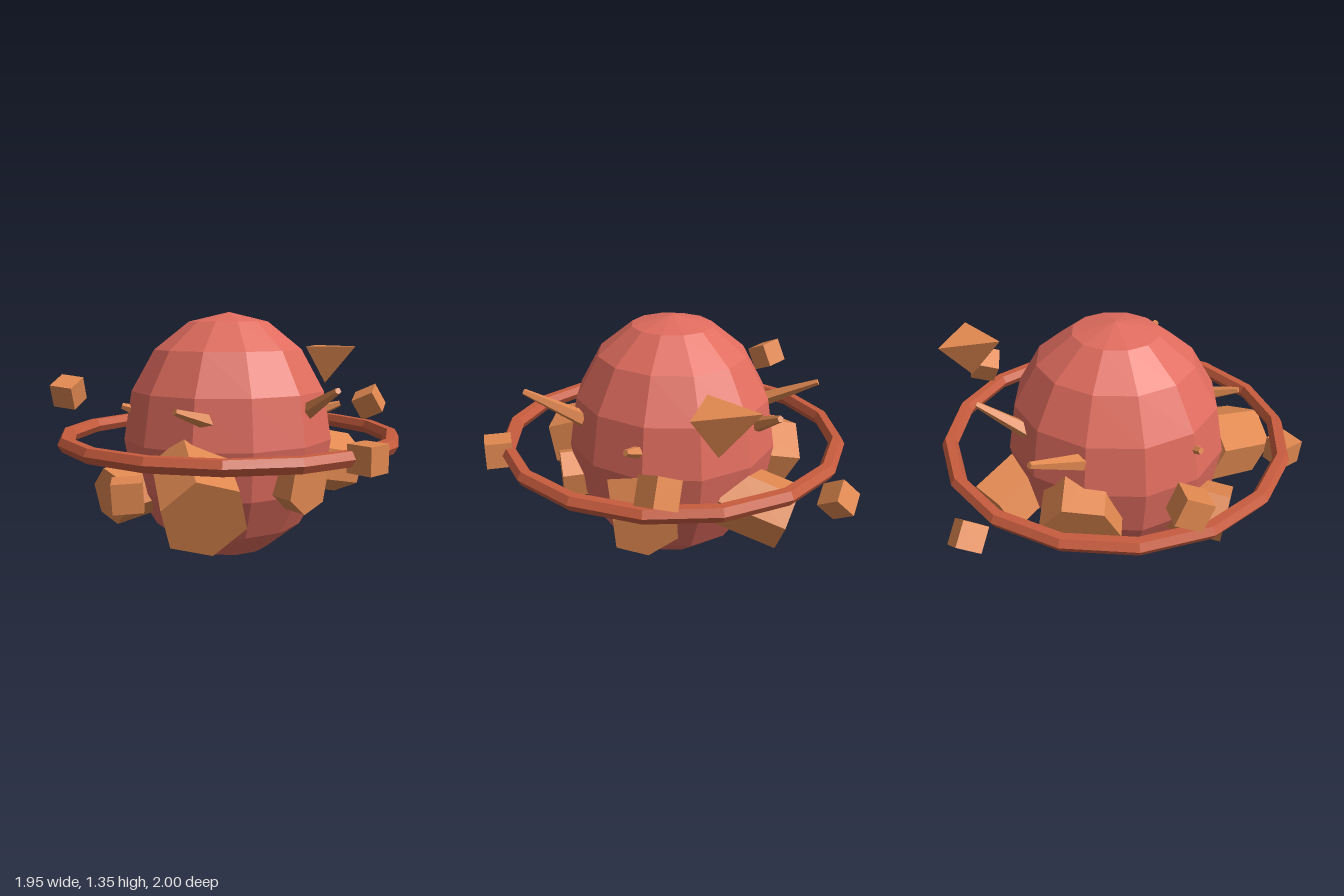
import * as THREE from 'three';

const CX = -0.04, CY = 0.68;
const paint = (color) => new THREE.MeshStandardMaterial({ color, flatShading: true });

export function createModel() {
  const group = new THREE.Group();
  const red = paint(0xe06c5e), rust = paint(0xc85c3e), orange = paint(0xe08850);

  const add = (name, geometry, material, x, y, z) => {
    const mesh = new THREE.Mesh(geometry, material);
    mesh.name = name;
    mesh.position.set(x, y, z);
    group.add(mesh);
    return mesh;
  };

  // Tapered prism running from an inner point to an outer point
  const prism = (name, from, to, rFrom, rTo, sides, spin = 0) => {
    const a = new THREE.Vector3(...from), b = new THREE.Vector3(...to);
    const dir = b.clone().sub(a), mid = a.clone().add(b).multiplyScalar(0.5);
    const geometry = new THREE.CylinderGeometry(rTo, rFrom, dir.length(), sides);
    geometry.rotateY(spin);
    const mesh = add(name, geometry, orange, mid.x, mid.y, mid.z);
    mesh.quaternion.setFromUnitVectors(new THREE.Vector3(0, 1, 0), dir.normalize());
  };

  // Faceted egg-shaped body
  const body = add('body', new THREE.SphereGeometry(0.587, 12, 8), red, CX, CY, 0);
  body.scale.set(0.955, 1.15, 1);

  // Ring around the equator
  const ring = add('ring', new THREE.TorusGeometry(0.895, 0.043, 6, 16), rust, CX, CY, 0);
  ring.rotation.x = Math.PI / 2;

  // Six slim spikes above the ring
  [
    [[0.45, 0.85, -0.09], [0.745, 0.985, 0.035]],
    [[0.255, 0.82, 0.4], [0.245, 0.89, 0.615]],
    [[-0.23, 0.81, 0.40], [-0.325, 0.86, 0.515]],
    [[-0.54, 0.84, -0.02], [-0.805, 0.98, -0.185]],
    [[-0.38, 0.85, -0.37], [-0.41, 0.985, -0.625]],
    [[0.2, 0.79, -0.42], [0.32, 0.845, -0.525]],
  ].forEach(([from, to]) => prism('spike', from, to, 0.045, 0.017, 5));

  // Six chunky hexagonal rocks set into the lower half
  [
    [[0.3, 0.5, 0.02], [0.575, 0.49, 0.03], 0.14, 0.3],
    [[0.13, 0.56, 0.42], [0.475, 0.42, 0.635], 0.21, 0.2],
    [[-0.23, 0.45, 0.25], [-0.23, 0.41, 0.665], 0.15, 0.25],
    [[-0.33, 0.62, -0.08], [-0.68, 0.51, 0.0], 0.205, 0.1],
    [[-0.22, 0.5, -0.38], [-0.52, 0.39, -0.54], 0.18, 0.4],
    [[0.22, 0.56, -0.28], [0.25, 0.48, -0.64], 0.175, 0],
  ].forEach(([from, to, r, spin]) => prism('rock', from, to, r, r, 6, spin));

  // Five tumbling cubes orbiting in a wave
  const tilts = [[0, 0, 0], [0.06, -0.65, 0], [0.45, 0.4, -0.3], [0.6, 0.45, 0.65], [0.35, 0.45, 0.3]];
  tilts.forEach((tilt, i) => {
    const a = i * Math.PI * 2 / 5;
    const cube = add('orbitingCube', new THREE.BoxGeometry(0.138, 0.138, 0.138), orange,
      CX + 0.94 * Math.cos(a), CY + 0.235 * Math.sin(3 * a), 0.94 * Math.sin(a));
    cube.rotation.set(...tilt);
  });

  // Three-sided pyramid hovering point-down behind the body
  const pyramid = add('hoveringPyramid', new THREE.ConeGeometry(0.186, 0.23, 3), orange, CX, 1.035, -0.828);
  pyramid.rotation.z = Math.PI;

  return group;
}
